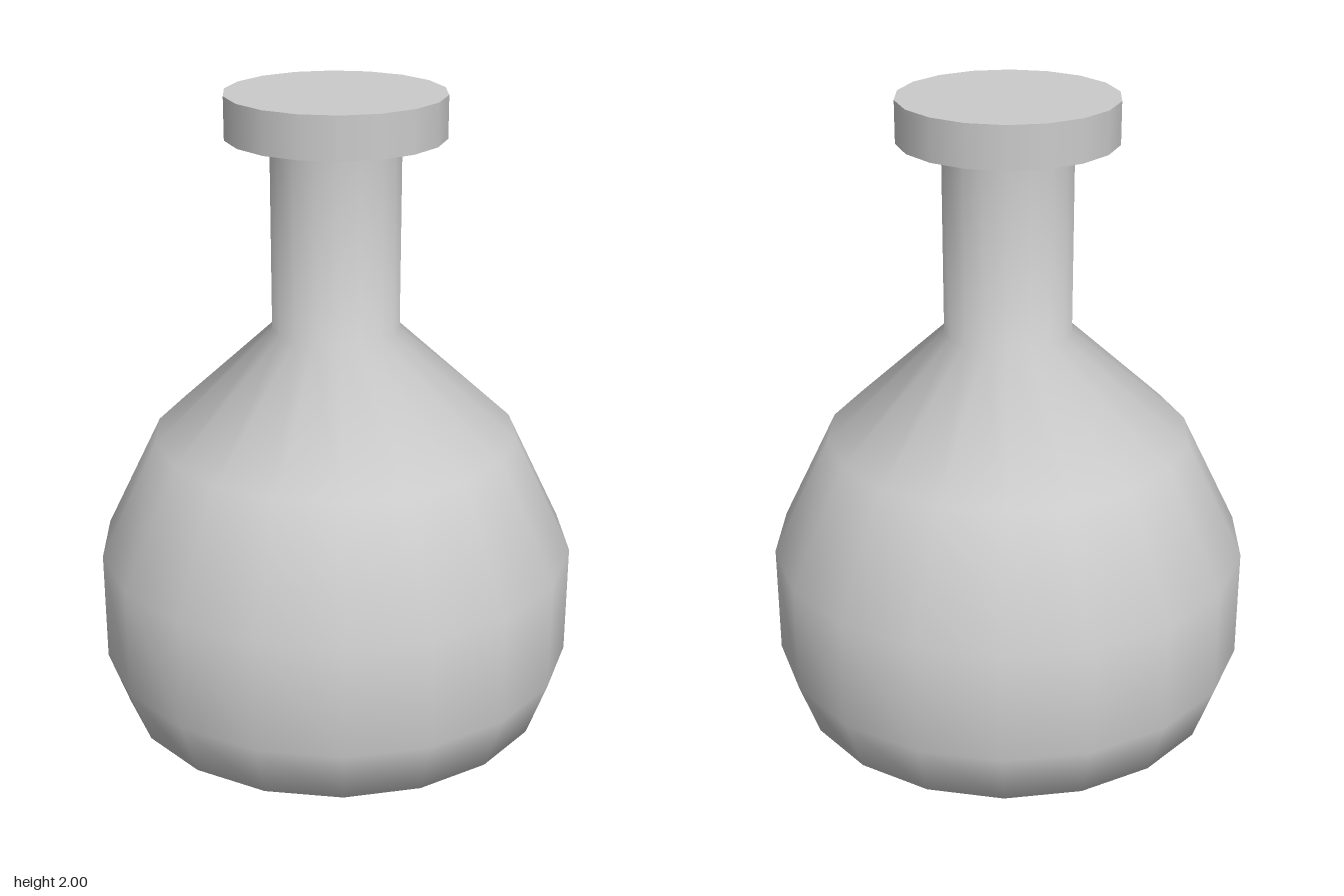
import * as THREE from 'three';

const SIDES = 18;
const START = Math.PI / 2; // puts a corner on the x axis

export function createModel() {
  const group = new THREE.Group();
  const material = new THREE.MeshStandardMaterial({ color: 0xcccccc });

  const add = (name, geometry, y = 0) => {
    const mesh = new THREE.Mesh(geometry, material);
    mesh.name = name;
    mesh.position.y = y;
    group.add(mesh);
    return mesh;
  };

  // Round belly, sloping shoulder and straight neck, from bottom to top
  const profile = [
    [0.39, 0], [0.64, 0.16], [0.70, 0.33], [0.70, 0.66],
    [0.53, 1.01], [0.185, 1.33], [0.185, 1.88],
  ].map(([r, y]) => new THREE.Vector2(r, y));
  add('body', new THREE.LatheGeometry(profile, SIDES, START));

  // Flat underside
  add('base', new THREE.CircleGeometry(0.39, SIDES).rotateX(Math.PI / 2));

  // Wide closed lip on top of the neck
  add('lip', new THREE.CylinderGeometry(0.31, 0.31, 0.12, SIDES, 1, false, START), 1.94);

  return group;
}
